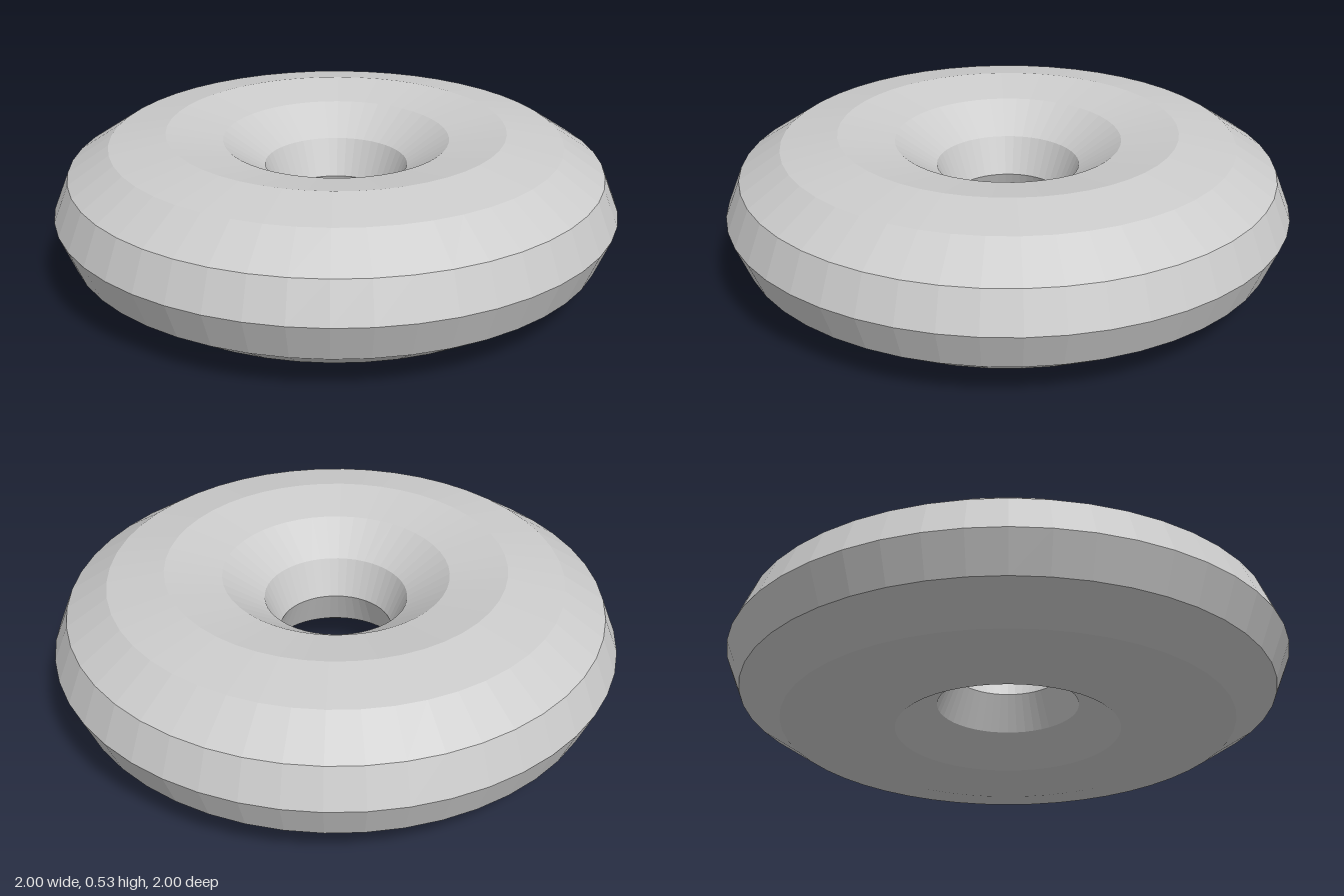
import * as THREE from 'three';

const RING_RADIUS = 0.6;
const TUBE_RADIUS = 0.4;
const HALF_HEIGHT = 0.265;

export function createModel() {
  const group = new THREE.Group();
  group.name = 'ringModel';

  // Faceted ring lying flat, its twelve-sided tube squashed in height
  const geometry = new THREE.TorusGeometry(RING_RADIUS, TUBE_RADIUS, 12, 48);
  geometry.rotateX(-Math.PI / 2);
  geometry.scale(1, HALF_HEIGHT / TUBE_RADIUS, 1);
  geometry.translate(0, HALF_HEIGHT, 0);

  const material = new THREE.MeshStandardMaterial({ color: 0xcccccc, flatShading: true });
  const ring = new THREE.Mesh(geometry, material);
  ring.name = 'ring';
  group.add(ring);
  return group;
}
